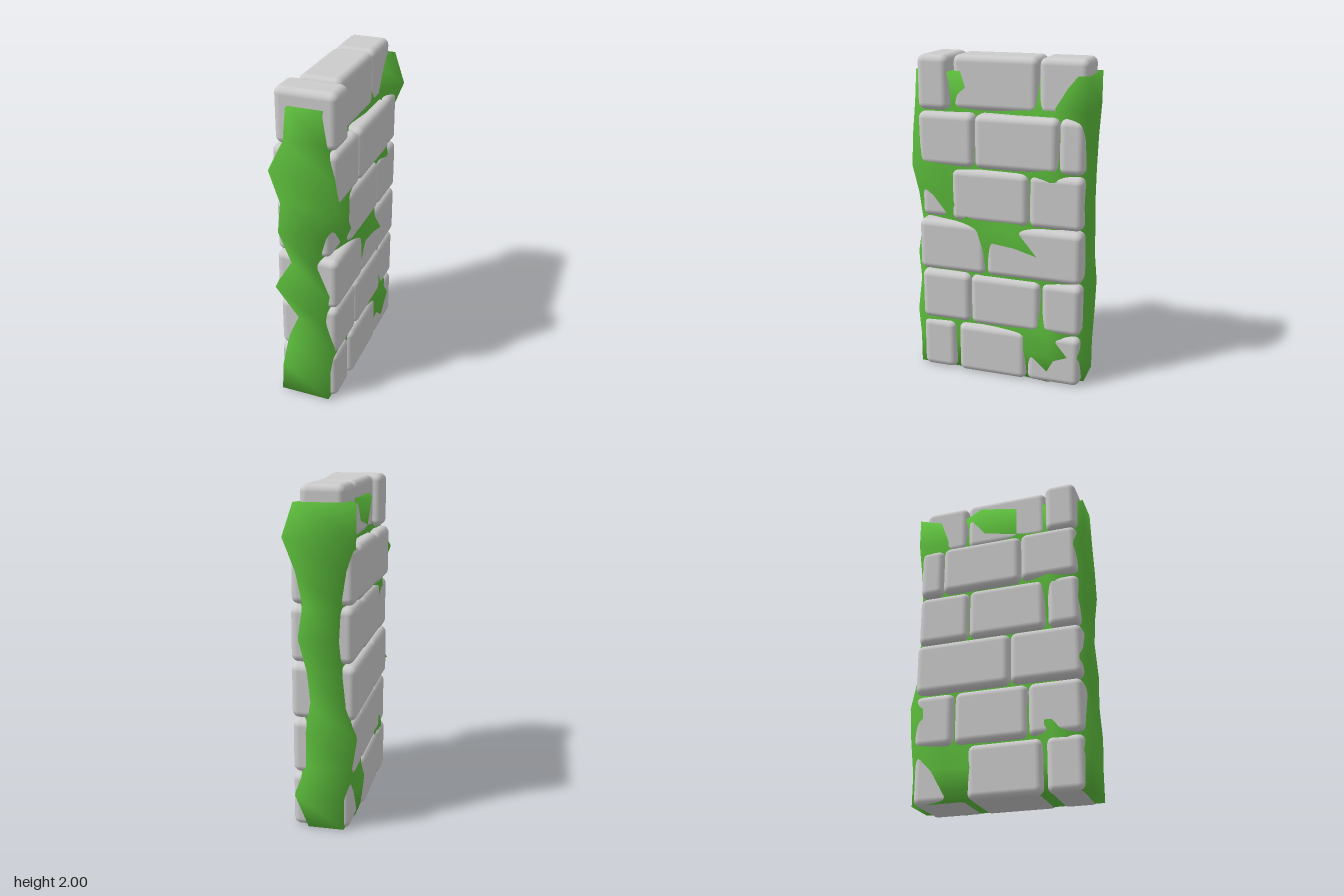
import * as THREE from 'three';
import { RoundedBoxGeometry } from 'three/addons/geometries/RoundedBoxGeometry.js';
import { mergeVertices } from 'three/addons/utils/BufferGeometryUtils.js';

// Stone courses from the ground up; each stone: [zFront, zBack, xMin, xMax]
const COURSES = [
  [[0.505, 0.285, -0.195, 0.17], [0.26, -0.185, -0.19, 0.18], [-0.19, -0.525, -0.165, 0.175]],
  [[0.505, 0.18, -0.19, 0.175], [0.177, -0.272, -0.19, 0.18], [-0.28, -0.525, -0.19, 0.175]],
  [[0.512, 0.075, -0.2, 0.18], [0.072, -0.525, -0.2, 0.18]],
  [[0.505, 0.31, -0.195, 0.135], [0.293, -0.193, -0.19, 0.18], [-0.198, -0.525, -0.185, 0.18]],
  [[0.503, 0.148, -0.21, 0.18], [0.143, -0.37, -0.2, 0.185], [-0.373, -0.525, -0.19, 0.175]],
  [[0.503, 0.308, -0.19, 0.175], [0.297, -0.228, -0.14, 0.12], [-0.235, -0.525, -0.135, 0.12]],
];

// Half thickness of the moss on each side: rows go up, columns go front to back
const MOSS_LEFT = [
  [0.13, 0.13, 0.13, 0.13, 0.16, 0.08],
  [0.13, 0.14, 0.14, 0.16, 0.197, 0.16],
  [0.16, 0.15, 0.14, 0.165, 0.17, 0.09],
  [0.10, 0.13, 0.14, 0.14, 0.14, 0.09],
  [0.13, 0.13, 0.165, 0.168, 0.175, 0.06],
  [0.05, 0.12, 0.187, 0.19, 0.13, 0.08],
  [0.10, 0.17, 0.14, 0.14, 0.14, 0.13],
  [0.187, 0.17, 0.14, 0.15, 0.19, 0.10],
  [0.165, 0.15, 0.13, 0.14, 0.14, 0.14],
  [0.12, 0.118, 0.08, 0.11, 0.115, 0.215],
  [0.09, 0.16, 0.05, 0.06, 0.06, 0.15],
];
const MOSS_RIGHT = [
  [0.18, 0.15, 0.14, 0.16, 0.16, 0.13],
  [0.17, 0.15, 0.15, 0.18, 0.19, 0.13],
  [0.13, 0.20, 0.15, 0.15, 0.15, 0.18],
  [0.05, 0.15, 0.15, 0.15, 0.15, 0.21],
  [0.20, 0.15, 0.15, 0.15, 0.15, 0.14],
  [0.09, 0.15, 0.15, 0.15, 0.15, 0.12],
  [0.17, 0.16, 0.15, 0.15, 0.15, 0.10],
  [0.15, 0.20, 0.15, 0.15, 0.15, 0.11],
  [0.215, 0.16, 0.14, 0.14, 0.15, 0.14],
  [0.12, 0.13, 0.14, 0.12, 0.12, 0.20],
  [0.10, 0.13, 0.14, 0.205, 0.085, 0.20],
];

// Box grid whose long sides are pushed in and out by the thickness tables
function mossGeometry() {
  const base = 0.004, height = 1.901, depth = 1.075;
  const box = new THREE.BoxGeometry(1, height, depth, 1, 10, 5);
  // Turn the diagonal of every quad
  const index = box.index.array;
  for (let i = 0; i < index.length; i += 6) {
    const [a, b, d, , c] = index.slice(i, i + 6);
    index.set([a, b, c, a, c, d], i);
  }
  box.deleteAttribute('normal');
  box.deleteAttribute('uv');
  const geo = mergeVertices(box);
  const p = geo.attributes.position;
  for (let i = 0; i < p.count; i++) {
    const row = Math.round((p.getY(i) / height + 0.5) * 10);
    const col = Math.round((0.5 - p.getZ(i) / depth) * 5);
    p.setX(i, p.getX(i) > 0 ? MOSS_LEFT[row][col] : -MOSS_RIGHT[row][col]);
  }
  geo.translate(0, base + height / 2, 0);
  geo.computeVertexNormals();
  return geo;
}

export function createModel() {
  const wall = new THREE.Group();
  wall.name = 'mossyStoneWall';
  const stone = new THREE.MeshStandardMaterial({ color: 0xcccccc });
  const green = new THREE.MeshStandardMaterial({ color: 0x5cbc3c });

  // Rounded stones, course by course
  COURSES.forEach((stones, c) => {
    const course = new THREE.Group();
    course.name = `stoneCourse${c + 1}`;
    for (const [z1, z0, x0, x1] of stones) {
      const mesh = new THREE.Mesh(new RoundedBoxGeometry(x1 - x0, 0.325, z1 - z0, 4, 0.042), stone);
      mesh.position.set((x0 + x1) / 2, 0.1625 + c * 0.335, (z0 + z1) / 2);
      mesh.name = 'stone';
      course.add(mesh);
    }
    wall.add(course);
  });

  // Lumpy moss core filling the joints
  const moss = new THREE.Mesh(mossGeometry(), green);
  moss.name = 'moss';
  wall.add(moss);
  return wall;
}
